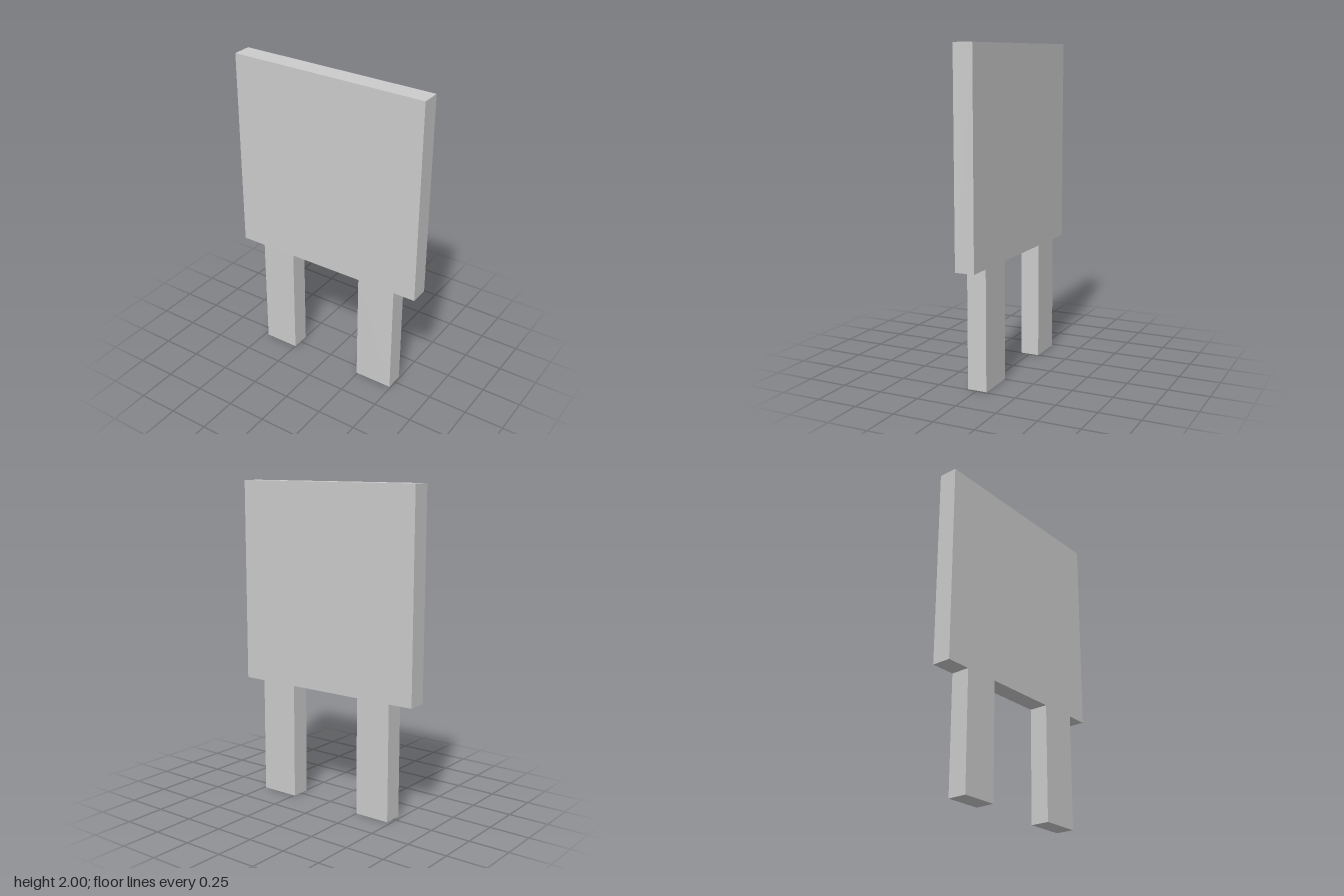
import * as THREE from 'three';

const DEPTH = 0.12;
const PANEL_BOTTOM = 0.73;
const HALF_WIDTH = 0.634;

export function createModel() {
  const group = new THREE.Group();
  group.name = 'signBoard';
  const material = new THREE.MeshStandardMaterial({ color: 0xcccccc, flatShading: true });

  // One continuous silhouette: square panel standing on two slightly unequal legs
  const outline = new THREE.Shape([
    [-0.477, 0], [-0.248, 0], [-0.248, PANEL_BOTTOM], // right leg
    [0.243, PANEL_BOTTOM], [0.243, 0], [0.492, 0], [0.492, PANEL_BOTTOM], // left leg
    [HALF_WIDTH, PANEL_BOTTOM], [HALF_WIDTH, 2], [-HALF_WIDTH, 2], [-HALF_WIDTH, PANEL_BOTTOM], // panel
    [-0.477, PANEL_BOTTOM],
  ].map(([x, y]) => new THREE.Vector2(x, y)));

  const geometry = new THREE.ExtrudeGeometry(outline, { depth: DEPTH, bevelEnabled: false });
  geometry.translate(0, 0, -DEPTH / 2);

  const board = new THREE.Mesh(geometry, material);
  board.name = 'panelWithLegs';
  group.add(board);
  return group;
}
